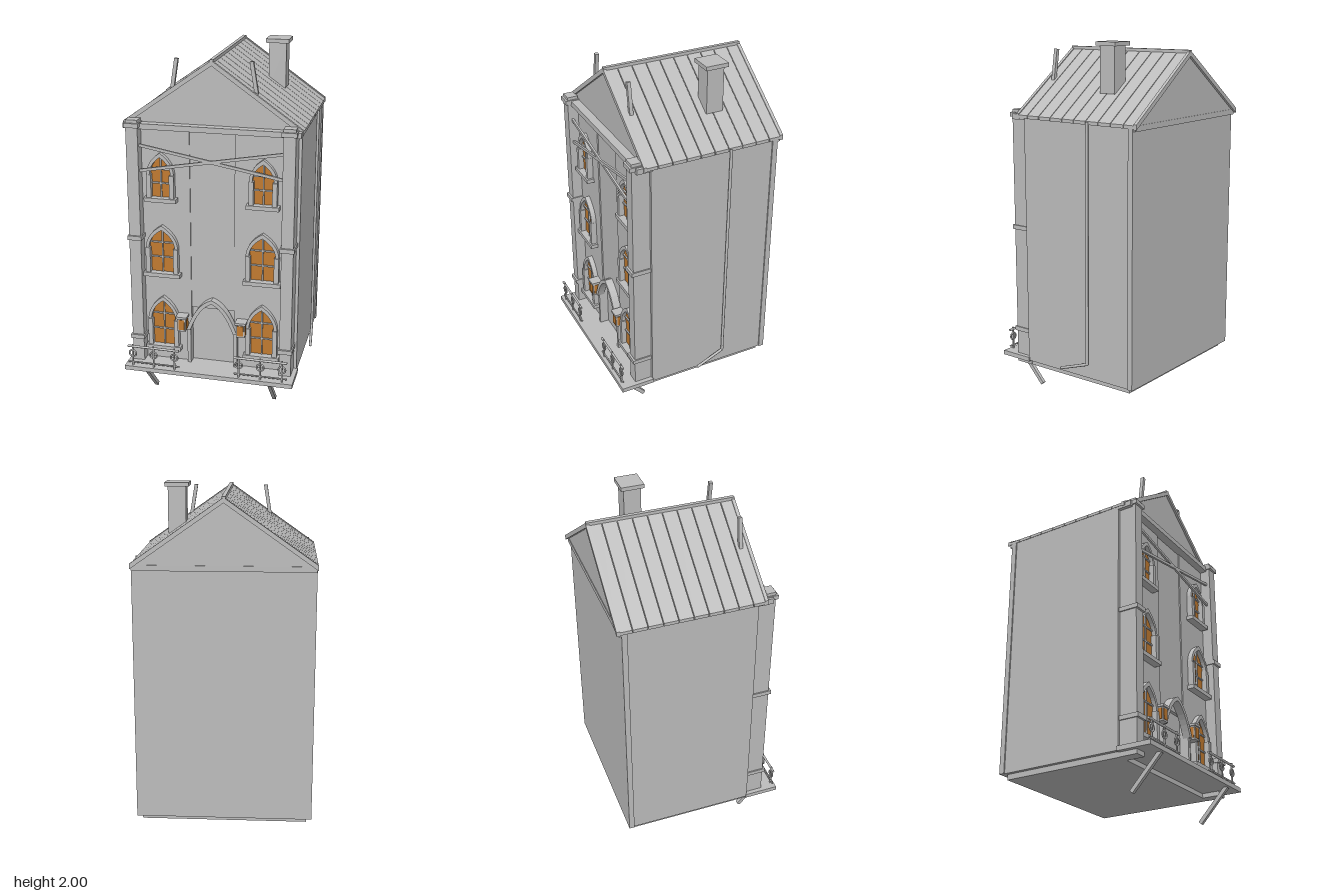
import * as THREE from 'three';

const C = -0.018; // house centre line in x

export function createModel() {
  const model = new THREE.Group();
  model.name = 'townHouse';
  const stone = new THREE.MeshStandardMaterial({ name: 'grey stone', color: 0xbcbcbc });
  const glow = new THREE.MeshStandardMaterial({ name: 'amber glass', color: 0xc07a30 });

  const add = (name, geo, mat = stone, parent = model) => {
    const mesh = new THREE.Mesh(geo, mat);
    mesh.name = name;
    parent.add(mesh);
    return mesh;
  };
  // box given by its limits on each axis
  const box = (name, x0, x1, y0, y1, z0, z1, mat, parent) => {
    const m = add(name, new THREE.BoxGeometry(x1 - x0, y1 - y0, z1 - z0), mat, parent);
    m.position.set((x0 + x1) / 2, (y0 + y1) / 2, (z0 + z1) / 2);
    return m;
  };
  // square beam between two points
  const beam = (name, a, b, w, d = w, mat, parent) => {
    const p = new THREE.Vector3(...a), q = new THREE.Vector3(...b);
    const m = add(name, new THREE.BoxGeometry(w, p.distanceTo(q), d), mat, parent);
    m.position.copy(p).add(q).multiplyScalar(0.5);
    m.quaternion.setFromUnitVectors(new THREE.Vector3(0, 1, 0), q.sub(p).normalize());
    return m;
  };
  const extrude = (shape, depth) =>
    new THREE.ExtrudeGeometry(shape, { depth, bevelEnabled: false, curveSegments: 8 });
  // pointed arch outline: half width w, foot y0, spring s, apex h
  const arch = (path, w, y0, s, h) => {
    const k = s + (h - s) * 0.6;
    path.moveTo(-w, y0);
    path.lineTo(w, y0);
    path.lineTo(w, s);
    path.quadraticCurveTo(w * 0.9, k, 0, h);
    path.quadraticCurveTo(-w * 0.9, k, -w, s);
    path.lineTo(-w, y0);
    return path;
  };

  // Body and foundation
  box('foundation', C - 0.455, C + 0.455, 0.16, 0.2, -0.415, 0.285);
  box('body', C - 0.475, C + 0.475, 0.19, 1.6, -0.42, 0.285);
  box('backWall', C - 0.482, C + 0.482, 0.19, 1.6, -0.45, -0.42);
  box('backCornice', C - 0.48, C + 0.48, 1.57, 1.6, -0.465, -0.44);

  // Facade: two bays and a slightly recessed middle bay above the door
  for (const s of [-1, 1]) {
    const a = C + s * 0.124, b = C + s * 0.44;
    box('facadeBay', Math.min(a, b), Math.max(a, b), 0.19, 1.6, 0.28, 0.325);
  }
  box('middleBay', C - 0.124, C + 0.124, 0.545, 1.6, 0.28, 0.318);
  box('door', C - 0.124, C + 0.124, 0.2, 0.545, 0.28, 0.298);
  box('cornice', C - 0.478, C + 0.482, 1.575, 1.605, 0.28, 0.366);

  // Corner pilasters with bands and caps
  for (const s of [-1, 1]) {
    const x = C + s * 0.425;
    box('pilaster', x - 0.033, x + 0.033, 0.16, 1.6, 0.28, 0.385);
    for (const y of [0.36, 0.962, 1.598])
      box('pilasterBand', x - 0.04, x + 0.04, y - 0.012, y + 0.012, 0.28, 0.397);
    box('pilasterCap', x - 0.033, x + 0.033, 1.6, 1.627, 0.325, 0.385);
  }

  // Arched windows: sill height, apex height, half width of glass
  for (const [y0, h, w] of [[0.3, 0.58, 0.07], [0.75, 1.005, 0.073], [1.19, 1.42, 0.058]]) {
    for (const s of [-1, 1]) {
      const win = new THREE.Group();
      win.name = 'window';
      win.position.set(C + s * 0.283, 0, 0.325);
      model.add(win);
      const spring = y0 + (h - y0) * 0.62;
      const frame = arch(new THREE.Shape(), w + 0.018, y0, spring, h + 0.025);
      frame.holes.push(arch(new THREE.Path(), w, y0 + 0.002, spring, h));
      add('windowFrame', extrude(frame, 0.028), stone, win);
      const pane = add('windowGlass', new THREE.ShapeGeometry(arch(new THREE.Shape(), w, y0, spring, h), 8), glow, win);
      pane.position.z = 0.004;
      box('mullion', -0.004, 0.004, y0, h, 0.002, 0.012, stone, win);
      for (const t of [0.36, 0.7])
        box('glazingBar', -w, w, y0 + t * (h - y0) - 0.004, y0 + t * (h - y0) + 0.004, 0.002, 0.012, stone, win);
      for (const k of [-1, 1]) {
        const x = k * (w + 0.006);
        box('windowColumn', x - 0.013, x + 0.013, y0, spring - 0.01, 0, 0.034, stone, win);
      }
      box('windowSill', -w - 0.032, w + 0.032, y0 - 0.02, y0 + 0.003, 0, 0.043, stone, win);
    }
  }

  // Crossed boards over the top floor
  beam('crossBoard', [-0.41, 1.486, 0.36], [0.378, 1.345, 0.36], 0.016, 0.012);
  beam('crossBoard', [-0.41, 1.345, 0.36], [0.378, 1.486, 0.36], 0.016, 0.012);

  // Door arch and its slim columns
  const hood = new THREE.Shape();
  hood.moveTo(0.145, 0.42);
  hood.quadraticCurveTo(0.09, 0.585, 0, 0.615);
  hood.quadraticCurveTo(-0.09, 0.585, -0.145, 0.42);
  hood.lineTo(-0.124, 0.42);
  hood.quadraticCurveTo(-0.07, 0.565, 0, 0.592);
  hood.quadraticCurveTo(0.07, 0.565, 0.124, 0.42);
  add('doorArch', extrude(hood, 0.045)).position.set(C, 0, 0.318);
  for (const s of [-1, 1])
    box('doorColumn', C + s * 0.134 - 0.01, C + s * 0.134 + 0.01, 0.2, 0.43, 0.32, 0.35);

  // Lanterns beside the door
  for (const s of [-1, 1]) {
    const x = C + s * 0.17;
    box('lanternCase', x - 0.024, x + 0.024, 0.415, 0.495, 0.325, 0.38);
    box('lanternCap', x - 0.031, x + 0.031, 0.492, 0.505, 0.325, 0.388);
    box('lanternGlass', x - 0.017, x + 0.017, 0.425, 0.485, 0.376, 0.383, glow);
    for (const k of [-1, 1])
      box('lanternSideGlass', x + k * 0.024 - 0.003, x + k * 0.024 + 0.003, 0.425, 0.485, 0.333, 0.373, glow);
  }

  // Porch deck on slanted struts
  box('deck', C - 0.482, C + 0.483, 0.185, 0.21, 0.28, 0.475);
  for (const x of [-0.37, 0.335])
    beam('deckStrut', [x, 0.188, 0.455], [x, 0.008, 0.288], 0.02, 0.022);

  // Railings with rings on the posts
  for (const x of [-0.333, 0.282]) {
    for (const [y, r] of [[0.328, 0.007], [0.23, 0.005]]) {
      const rail = add('rail', new THREE.CylinderGeometry(r, r, 0.3, 8));
      rail.rotation.z = Math.PI / 2;
      rail.position.set(x, y, 0.456);
    }
    for (const k of [-1, 0, 1]) {
      const px = x + k * 0.122;
      box('railPost', px - 0.004, px + 0.004, 0.205, 0.34, 0.452, 0.46);
      add('railRing', new THREE.TorusGeometry(0.02, 0.005, 6, 16)).position.set(px, 0.285, 0.456);
    }
  }

  // Gable block and planked roof
  const gable = new THREE.Shape();
  gable.moveTo(-0.472, 1.595);
  gable.lineTo(0.472, 1.595);
  gable.lineTo(0, 1.932);
  add('gable', extrude(gable, 0.78)).position.set(C, 0, -0.462);
  const chevron = (top, t) => {
    const s = new THREE.Shape();
    s.moveTo(0, top);
    s.lineTo(-0.487, top - 0.342);
    s.lineTo(-0.487, top - 0.342 - t);
    s.lineTo(0, top - t);
    s.lineTo(0.487, top - 0.342 - t);
    s.lineTo(0.487, top - 0.342);
    return s;
  };
  const pitch = 0.0805;
  for (let i = 0; i < 10; i++)
    add('roofPlanks', extrude(chevron(1.944, 0.018), pitch - 0.004)).position.set(C, 0, -0.473 + i * pitch);
  for (const z of [-0.477, 0.312])
    add('verge', extrude(chevron(1.95, 0.028), 0.018)).position.set(C, 0, z);
  box('ridge', C - 0.01, C + 0.01, 1.93, 1.954, -0.475, 0.328);

  // Loose boards standing on the roof
  beam('looseBoard', [-0.244, 1.775, 0.278], [-0.217, 1.945, 0.278], 0.02);
  beam('looseBoard', [0.212, 1.775, 0.278], [0.184, 1.945, 0.278], 0.02);

  // Chimney
  box('chimney', 0.198, 0.294, 1.73, 1.985, -0.208, -0.112);
  box('chimneyCap', 0.181, 0.31, 1.978, 2, -0.225, -0.097);

  // Drainpipe on the side wall, kicked out at the foot
  const pipe = new THREE.CurvePath();
  const pts = [[0.473, 1.6, -0.165], [0.476, 0.275, -0.157], [0.494, 0.222, 0.01]]
    .map((p) => new THREE.Vector3(...p));
  for (let i = 0; i < 2; i++) pipe.add(new THREE.LineCurve3(pts[i], pts[i + 1]));
  for (const c of pipe.curves) add('drainpipe', new THREE.TubeGeometry(c, 1, 0.008, 8));
  for (const p of pts.slice(1)) add('pipeJoint', new THREE.SphereGeometry(0.008, 8, 6)).position.copy(p);

  return model;
}
